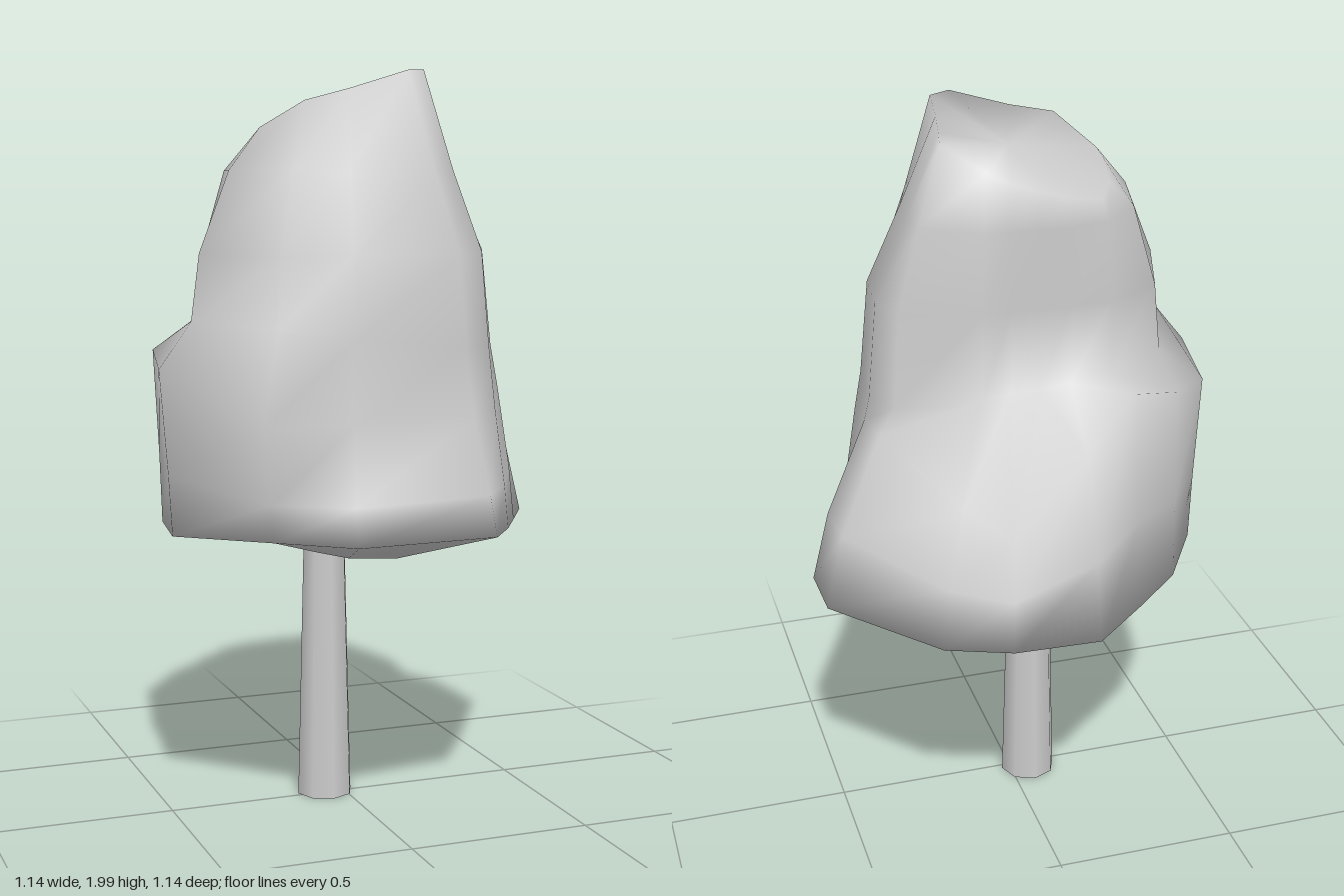
import * as THREE from 'three';
import { mergeVertices } from 'three/addons/utils/BufferGeometryUtils.js';

// Directions of the foliage corners in degrees: +x = 0, front (+z) = 90, back = 270
const ANGLES = [-6, 20, 45, 65, 107, 130, 162, 197, 222, 243, 262, 285, 303, 339];
const SIDES = ANGLES.length;

// A ring of corners: radii and heights are one value, or one per direction.
// tx and tz tilt the ring along x and z.
function ring(radii, heights, tx = 0, tz = 0) {
  const pick = (value, j) => (Array.isArray(value) ? value[j] : value);
  return ANGLES.map((degrees, j) => {
    const angle = THREE.MathUtils.degToRad(degrees);
    const x = pick(radii, j) * Math.cos(angle);
    const z = pick(radii, j) * Math.sin(angle);
    return new THREE.Vector3(x, pick(heights, j) + tx * x + tz * z, z);
  });
}

// Joins rings from bottom to top into one smooth skin
function loft(rings) {
  const index = [];
  for (let i = 0; i < rings.length - 1; i++) {
    for (let j = 0; j < SIDES; j++) {
      const next = (j + 1) % SIDES;
      const a = i * SIDES + j, b = i * SIDES + next;
      const c = a + SIDES, d = b + SIDES;
      index.push(a, c, b, b, c, d);
    }
  }
  const geometry = new THREE.BufferGeometry().setFromPoints(rings.flat());
  geometry.setIndex(index);
  const merged = mergeVertices(geometry);
  merged.computeVertexNormals();
  return merged;
}

function foliageGeometry() {
  const rim = [.57, .47, .48, .55, .60, .52, .565, .50, .49, .50, .57, .57, .58, .60];
  // shelf: high at the back left, a valley at the back right
  const shelf = [.41, .42, .44, .47, .47, .60, .60, .52, .48, .46, .47, .47, .42, .42];
  const shelfY = [1.2, 1.15, 1.1, 1.1, 1.1, 1.1, 1.23, 1.25, 1.3, 1.35, 1.22, 1, 1.05, 1.2];
  const notch = [.395, .40, .42, .44, .46, .50, .50, .40, .30, .23, .205, .21, .25, .37];
  const top = [.19, .185, .23, .235, .22, .30, .28, .26, .26, .225, .20, .20, .20, .215];
  const blend = (a, b, t) => a.map((value, j) => THREE.MathUtils.lerp(value, b[j], t));

  return loft([
    // underside
    ring(0, 0.74),
    ring(0.2, 0.73, -0.1, -0.15),
    // lower rim and the skirt above it
    ring(rim, 0.775, -0.02, 0.06),
    ring(blend(rim, shelf, 0.3), shelfY.map((y) => THREE.MathUtils.lerp(0.775, y, 0.4))),
    // shelf and the notch above it
    ring(shelf, shelfY),
    ring(notch, 1.3, -0.1),
    // crown with a slanted top
    ring(blend(notch, top, 0.12), 1.52),
    ring(blend(notch, top, 0.55), 1.73),
    ring(top, 1.895, 0.3, 0.3),
    ring(0, 1.895),
  ]);
}

export function createModel() {
  const model = new THREE.Group();
  model.name = 'tree';
  const material = new THREE.MeshStandardMaterial({ color: 0xcccccc });

  // Lumpy foliage mass
  const foliage = new THREE.Mesh(foliageGeometry(), material);
  foliage.name = 'foliage';
  model.add(foliage);

  // Tapered trunk, slightly off centre
  const height = 0.8;
  const trunk = new THREE.Mesh(new THREE.CylinderGeometry(0.058, 0.078, height, 8), material);
  trunk.name = 'trunk';
  trunk.position.set(-0.053, height / 2, -0.015);
  model.add(trunk);

  return model;
}
